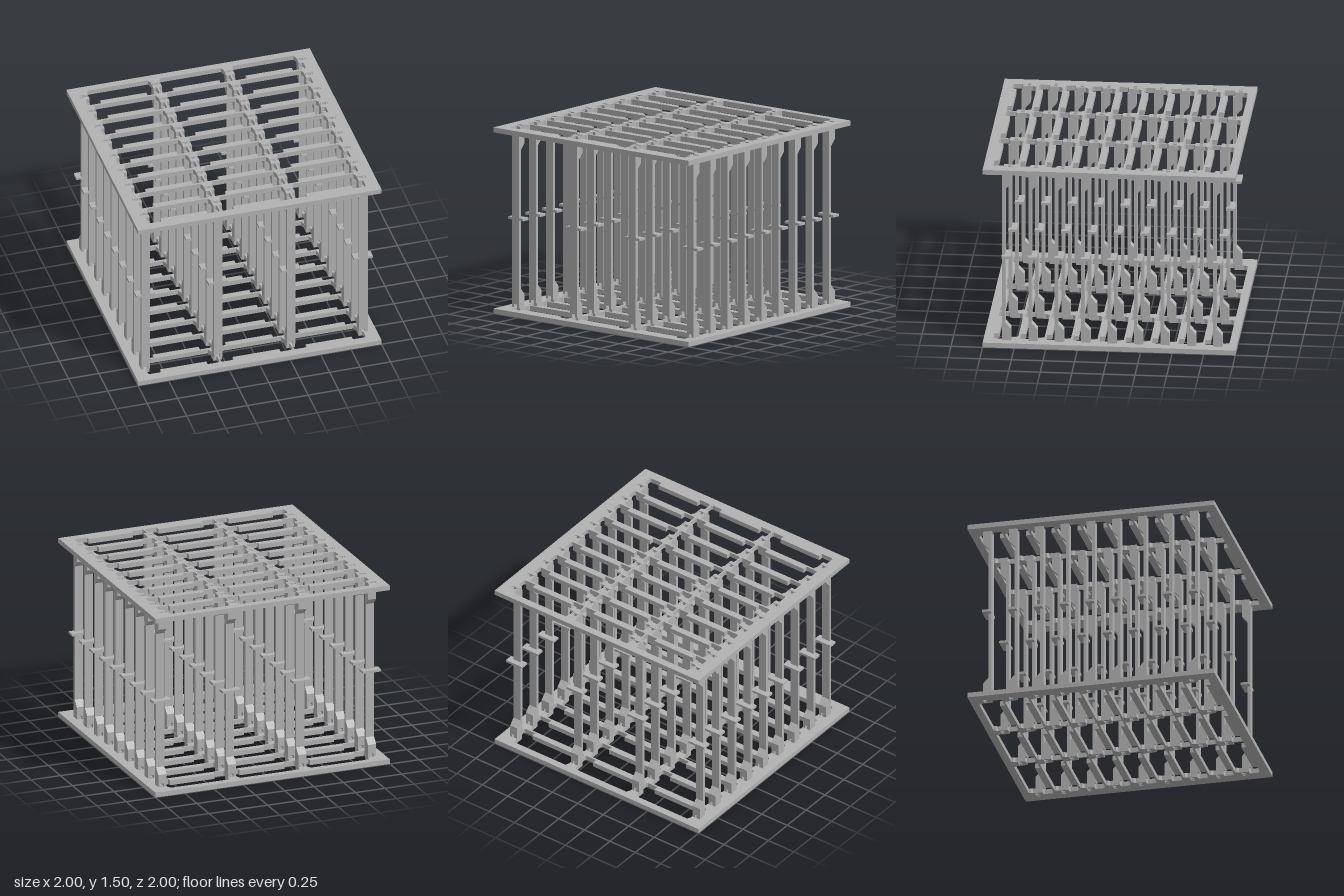
import * as THREE from 'three';

const ROWS = 9, PITCH = 0.209, Z0 = -0.94;      // rows of windows, back to front
const COLS = [-0.895, -0.3, 0.3, 0.895];        // post centre lines
const HEIGHT = 1.5, THICK = 0.04;

const rowZ = (i) => Z0 + i * PITCH;

// Window between two columns: lugs at the back corners, a wide bar at the front
function windowPath(a, b, z) {
  const half = (x) => (Math.abs(x) > 0.5 ? 0 : 0.006);
  const side = (x, s) => {
    const e = x + s * half(x);
    return [
      [x + s * 0.047, z], [x + s * 0.047, z + 0.012], [x + s * 0.036, z + 0.03],
      [x + s * 0.036, z + 0.11], [e + s * 0.008, z + 0.11], [e, z + 0.118],
      [e, z + 0.183], [e + s * 0.01, z + 0.193],
      [x + s * 0.108, z + 0.193], [x + s * 0.108, z + 0.155],
    ];
  };
  const pts = [...side(a, 1), ...side(b, -1).reverse()];
  return new THREE.Path(pts.map(([x, y]) => new THREE.Vector2(x, y)));
}

function rectPath(x, y, w, h) {
  return new THREE.Path([
    new THREE.Vector2(x, y), new THREE.Vector2(x + w, y),
    new THREE.Vector2(x + w, y + h), new THREE.Vector2(x, y + h),
  ]);
}

// Square grid plate with windows and tenon slots
function plateGeometry() {
  const shape = new THREE.Shape([
    new THREE.Vector2(-1, -1), new THREE.Vector2(1, -1),
    new THREE.Vector2(1, 1), new THREE.Vector2(-1, 1),
  ]);
  for (let i = 0; i < ROWS; i++) {
    const z = rowZ(i);
    for (let c = 0; c < 3; c++) shape.holes.push(windowPath(COLS[c], COLS[c + 1], z));
    for (const x of COLS) shape.holes.push(rectPath(x - 0.032, z + 0.048, 0.064, 0.028));
  }
  const g = new THREE.ExtrudeGeometry(shape, { depth: THICK, bevelEnabled: false });
  g.rotateX(Math.PI / 2); // top face at y = 0
  return g;
}

// Side profile of a post (z, y), extruded across x from x0 to x1
function postGeometry(x0, x1, cut) {
  const back = 0.051, stem = 0.096, front = 0.121;
  const lo = THICK + cut, hi = HEIGHT - THICK - cut;
  const shape = new THREE.Shape([
    [front, lo], [front, hi], [back, hi], [back, 1.36], [stem, 1.31],
    [stem, 0.19], [back, 0.14], [back, lo],
  ].map(([z, y]) => new THREE.Vector2(-z, y)));
  const g = new THREE.ExtrudeGeometry(shape, { depth: x1 - x0, bevelEnabled: false });
  g.rotateY(Math.PI / 2); // shape -z becomes z, depth runs along x
  g.translate(x0, 0, 0);
  return g;
}

export function createModel() {
  const model = new THREE.Group();
  const grey = new THREE.MeshStandardMaterial({ color: 0xb2b2b2 });
  grey.name = 'grey';

  const add = (parent, name, geometry, x = 0, y = 0, z = 0) => {
    const m = new THREE.Mesh(geometry, grey);
    m.name = name;
    m.position.set(x, y, z);
    parent.add(m);
  };

  // Top and bottom plates
  const plate = plateGeometry();
  add(model, 'bottomPlate', plate, 0, THICK, 0);
  add(model, 'topPlate', plate, 0, HEIGHT, 0);

  // Shared post parts: two cheeks leave a small gap at each end
  const leftCheek = postGeometry(0.014, 0.035, 0);
  const rightCheek = postGeometry(-0.035, -0.014, 0);
  const core = postGeometry(-0.014, 0.014, 0.025);
  const crossTab = new THREE.BoxGeometry(0.154, 0.02, 0.07);
  const tenon = new THREE.BoxGeometry(0.013, 0.036, 0.024);

  for (let i = 0; i < ROWS; i++) {
    for (const x of COLS) {
      const post = new THREE.Group();
      post.name = 'post';
      post.position.set(x, 0, rowZ(i));
      add(post, 'postLeftCheek', leftCheek);
      add(post, 'postRightCheek', rightCheek);
      add(post, 'postCore', core);
      add(post, 'crossTab', crossTab, 0, 0.753, 0.086);
      // Tenons reaching into the plate slots
      for (const s of [-1, 1]) {
        add(post, 'lowerTenon', tenon, s * 0.021, 0.022, 0.063);
        add(post, 'upperTenon', tenon, s * 0.021, HEIGHT - 0.022, 0.063);
      }
      model.add(post);
    }
  }
  return model;
}
